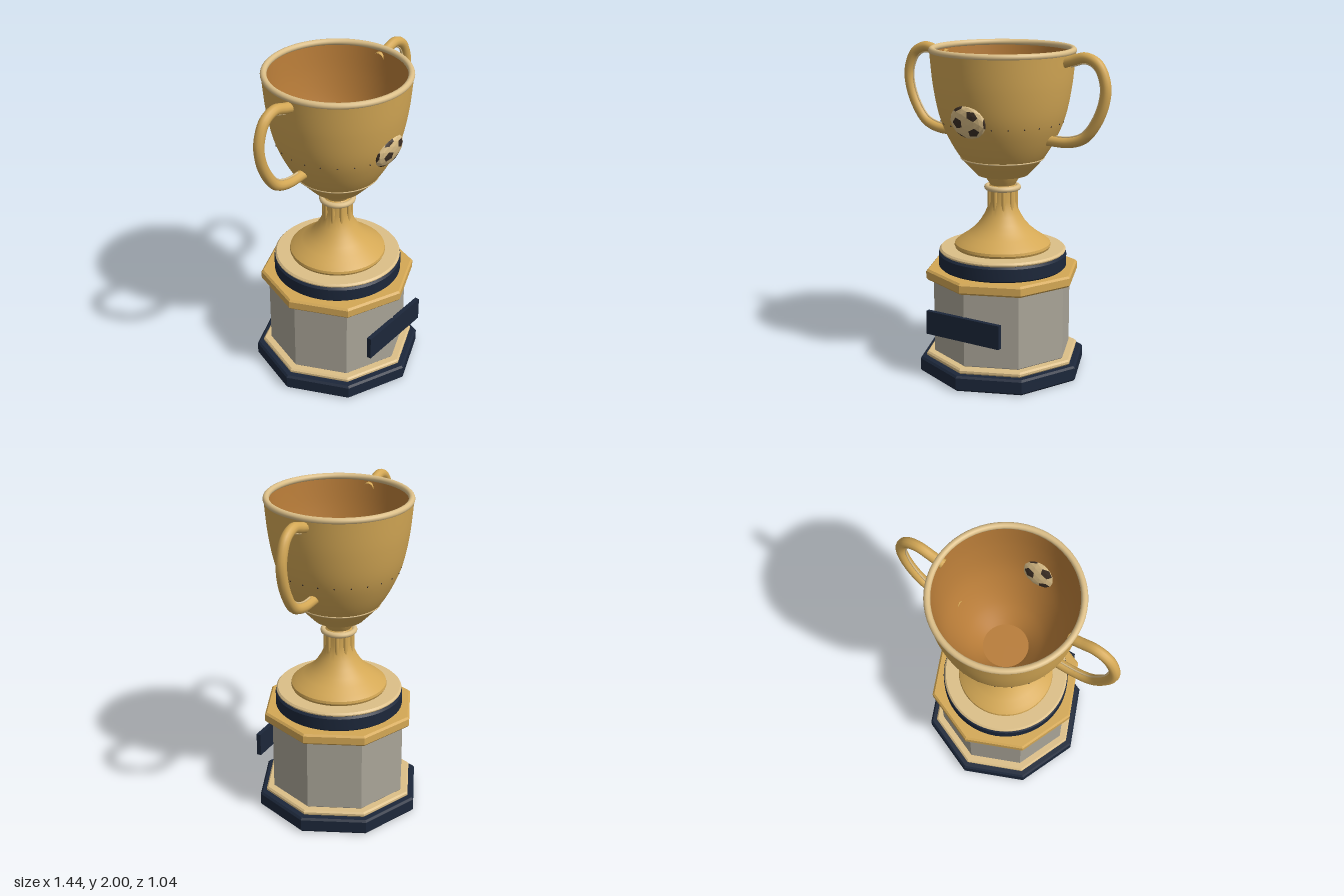
import * as THREE from 'three';
import { toCreasedNormals } from 'three/addons/utils/BufferGeometryUtils.js';

const mat = (color, side = THREE.FrontSide) => new THREE.MeshStandardMaterial({ color, side });

export function createModel() {
  const model = new THREE.Group();
  const gold = mat(0xd4a855), paleGold = mat(0xdcbf88), navy = mat(0x1c273a);
  const stone = mat(0xaaa598), innerGold = mat(0xb87c38), dark = mat(0x3c2f25);

  const add = (name, geometry, material, parent = model) => {
    const mesh = new THREE.Mesh(geometry, material);
    mesh.name = name;
    parent.add(mesh);
    return mesh;
  };
  const vec = (pts) => pts.map(([x, y]) => new THREE.Vector2(x, y));
  const lathe = (name, pts, material, segments = 64) =>
    add(name, toCreasedNormals(new THREE.LatheGeometry(vec(pts), segments), 0.5), material);
  // Solid disc or octagonal slab with a small bevel
  const slab = (name, r, y0, y1, b, material, segments) =>
    lathe(name, [[0, y0], [r - b, y0], [r, y0 + b], [r, y1 - b], [r - b, y1], [0, y1]], material, segments);
  const ring = (name, r, tube, y, material) => {
    const mesh = add(name, new THREE.TorusGeometry(r, tube, 12, 64), material);
    mesh.rotation.x = Math.PI / 2;
    mesh.position.y = y;
    return mesh;
  };

  // Octagonal plinth, corners on the axes
  slab('plinthBase', 0.52, 0, 0.095, 0.012, navy, 8);
  slab('plinthLowerTrim', 0.48, 0.095, 0.128, 0.01, paleGold, 8);
  slab('plinthBody', 0.43, 0.125, 0.592, 0.008, stone, 8);
  slab('plinthUpperTrim', 0.477, 0.59, 0.658, 0.012, gold, 8);
  slab('drum', 0.392, 0.655, 0.752, 0.012, navy, 64);
  slab('drumTrim', 0.387, 0.75, 0.776, 0.01, paleGold, 64);

  // Front plaque
  add('plaque', new THREE.BoxGeometry(0.515, 0.146, 0.028), navy).position.set(0, 0.365, 0.437);

  // Foot and stem
  lathe('foot', [[0, 0.774], [0.288, 0.774], [0.295, 0.79], [0.292, 0.805], [0.265, 0.828], [0.22, 0.858],
    [0.175, 0.895], [0.14, 0.935], [0.112, 0.98], [0.094, 1.02], [0.084, 1.07], [0.084, 1.15]], gold);
  const flutes = new THREE.Group();
  flutes.name = 'stemFlutes';
  model.add(flutes);
  for (let i = 0; i < 10; i++) {
    const a = (i / 10) * Math.PI * 2;
    add('flute', new THREE.CapsuleGeometry(0.012, 0.13, 4, 10), gold, flutes)
      .position.set(Math.sin(a) * 0.083, 1.07, Math.cos(a) * 0.083);
  }
  ring('stemCollar', 0.095, 0.017, 1.15, paleGold);
  lathe('neck', [[0.09, 1.15], [0.075, 1.167], [0.086, 1.185], [0.102, 1.21], [0.113, 1.235]], gold);

  // Bowl: outer shell and inner lining from one curve
  const wall = new THREE.SplineCurve(vec([[0.155, 1.23], [0.25, 1.335], [0.325, 1.46], [0.38, 1.6],
    [0.415, 1.78], [0.434, 1.98]])).getPoints(36);
  lathe('bowl', [[0, 1.228], ...wall.map((p) => [p.x, p.y])], gold, 72);
  lathe('bowlLining', [...wall.map((p) => [p.x - 0.02, p.y + 0.012]).reverse(), [0, 1.242]], innerGold, 72);
  ring('rim', 0.42, 0.019, 1.981, paleGold);
  ring('bowlBand', 0.25, 0.005, 1.335, paleGold);

  // Tiny studs around the bowl
  for (let i = 0; i < 24; i++) {
    const a = ((i + 0.5) / 24) * Math.PI * 2;
    add('stud', new THREE.SphereGeometry(0.005, 6, 4), dark)
      .position.set(Math.sin(a) * 0.367, 1.56, Math.cos(a) * 0.367);
  }

  // Handles with a fine bead along the inner edge
  const handlePts = [[0.4, 1.925], [0.47, 1.945], [0.56, 1.967], [0.64, 1.93], [0.688, 1.82], [0.68, 1.71],
    [0.63, 1.59], [0.56, 1.505], [0.46, 1.468], [0.31, 1.465]];
  const path = (s, pts) => new THREE.CatmullRomCurve3(pts.map(([x, y]) => new THREE.Vector3(s * x, y, 0)));
  const base = path(1, handlePts);
  const beadPts = Array.from({ length: 21 }, (_, i) => {
    const u = 0.06 + 0.88 * (i / 20), p = base.getPointAt(u), t = base.getTangentAt(u);
    return [p.x + t.y * 0.032, p.y - t.x * 0.032];
  });
  for (const [side, s] of [['left', 1], ['right', -1]]) {
    add(side + 'Handle', new THREE.TubeGeometry(path(s, handlePts), 64, 0.031, 12), gold);
    add(side + 'HandleBead', new THREE.TubeGeometry(path(s, beadPts), 64, 0.006, 6), paleGold);
  }

  // Flattened faceted ball on the front: patches around the icosahedron corners are dark
  const corners = new THREE.IcosahedronGeometry(1, 0).getAttribute('position');
  const pos = new THREE.IcosahedronGeometry(1, 2).getAttribute('position');
  const patches = { light: [], dark: [] };
  const v = new THREE.Vector3(), c = new THREE.Vector3();
  const isCorner = (i) => {
    v.fromBufferAttribute(pos, i);
    for (let k = 0; k < corners.count; k++)
      if (c.fromBufferAttribute(corners, k).dot(v) > 0.999) return true;
    return false;
  };
  // Turn the ball so that one dark patch faces forward, left of centre
  const turn = new THREE.Quaternion().setFromUnitVectors(
    new THREE.Vector3().fromBufferAttribute(corners, 0).normalize(),
    new THREE.Vector3(-0.45, 0.05, 0.89).normalize());
  for (let f = 0; f < pos.count; f += 3) {
    const target = [f, f + 1, f + 2].some(isCorner) ? patches.dark : patches.light;
    for (let i = f; i < f + 3; i++) {
      v.fromBufferAttribute(pos, i).applyQuaternion(turn);
      target.push(v.x * 0.118, v.y * 0.104, v.z * 0.042);
    }
  }
  const ball = new THREE.Group();
  ball.name = 'ballEmblem';
  ball.position.set(0, 1.6, 0.368);
  ball.rotation.x = 0.28;
  model.add(ball);
  for (const [key, material] of [['light', paleGold], ['dark', dark]]) {
    const g = new THREE.BufferGeometry();
    g.setAttribute('position', new THREE.Float32BufferAttribute(patches[key], 3));
    g.computeVertexNormals();
    add(key + 'Panels', g, material, ball);
  }
  return model;
}
